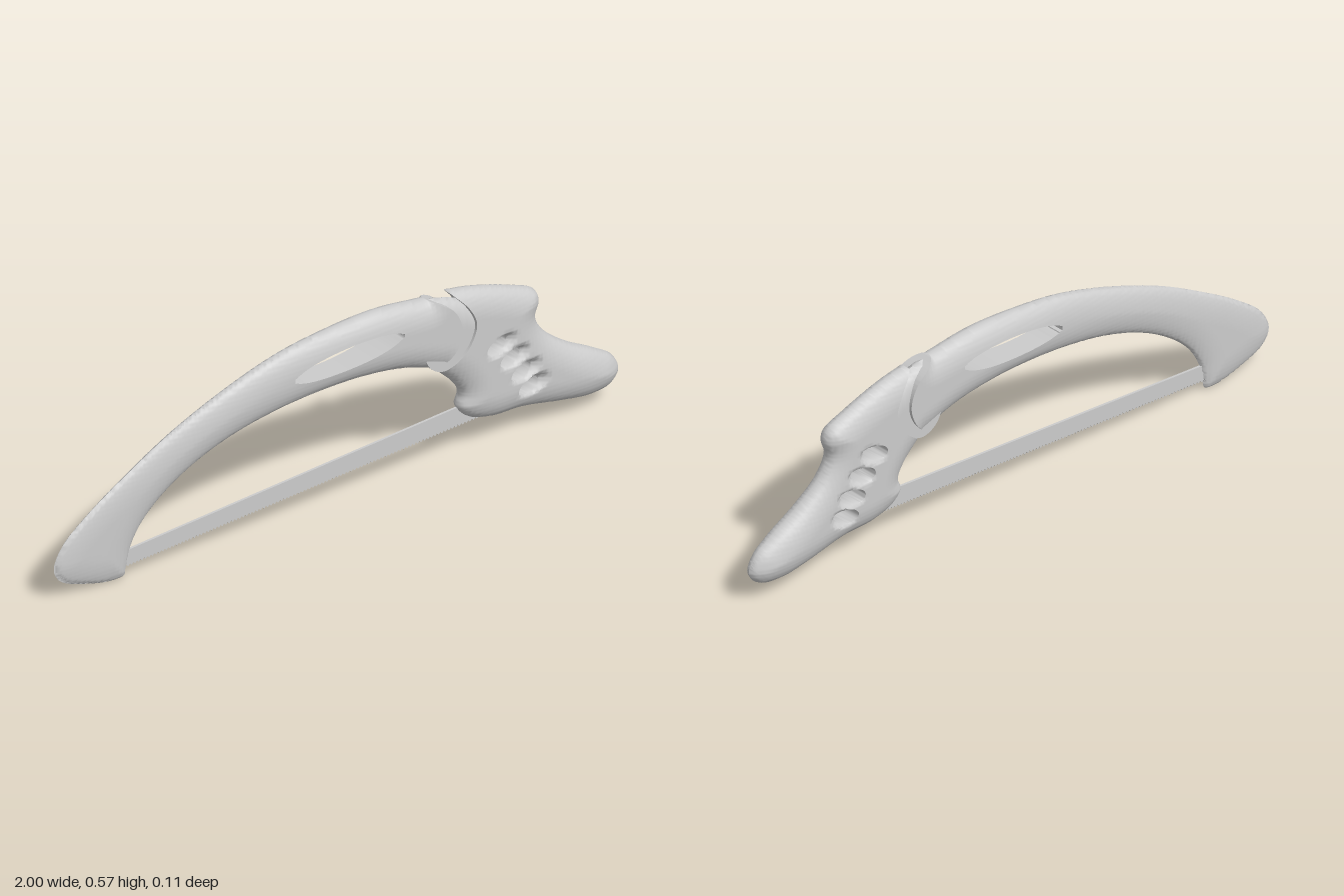
import * as THREE from 'three';
import { toCreasedNormals } from 'three/addons/utils/BufferGeometryUtils.js';

const material = new THREE.MeshStandardMaterial({ color: 0xcccccc });
const clamp = THREE.MathUtils.clamp;

// Smooth open polyline through a few [x, y] points
function smooth(points, n) {
  const curve = new THREE.CatmullRomCurve3(points.map(([x, y]) => new THREE.Vector3(x, y, 0)));
  return curve.getPoints(n).map((p) => [p.x, p.y]);
}

// Shortest distance from a point to a polyline
function distance(x, y, line) {
  let best = Infinity;
  for (let i = 1; i < line.length; i++) {
    const [ax, ay] = line[i - 1];
    const dx = line[i][0] - ax, dy = line[i][1] - ay;
    const t = clamp(((x - ax) * dx + (y - ay) * dy) / (dx * dx + dy * dy || 1), 0, 1);
    best = Math.min(best, Math.hypot(x - ax - t * dx, y - ay - t * dy));
  }
  return best;
}

function inside(x, y, line) {
  let hit = false;
  for (let i = 0, j = line.length - 1; i < line.length; j = i++) {
    const [ax, ay] = line[i], [bx, by] = line[j];
    if (ay > y !== by > y && x < ((bx - ax) * (y - ay)) / (by - ay) + ax) hit = !hit;
  }
  return hit;
}

// 1 on the edge of a tilted ellipse, less inside it
function ellipse(x, y, e) {
  const c = Math.cos(e.tilt), s = Math.sin(e.tilt), dx = x - e.x, dy = y - e.y;
  return Math.hypot((dx * c + dy * s) / e.a, (dy * c - dx * s) / e.b);
}

// Pillowed plate: rounded along the rim, cut square along the cut, pierced by
// elliptical holes and hollowed by dishes. halfDepth(x, y) is its half thickness.
function pillow(name, { rim, cut, holes = [], dishes = [], halfDepth, radius, h = 0.006 }) {
  const rimLine = smooth(rim, 110);
  const cutLine = smooth([rim[rim.length - 1], ...cut, rim[0]], 40);
  const outline = [...rimLine, ...cutLine.slice(1)];

  const field = (x, y) => {
    let f = distance(x, y, outline) * (inside(x, y, outline) ? 1 : -1);
    for (const e of holes) f = Math.min(f, (ellipse(x, y, e) - 1) * e.b);
    return f;
  };
  const depth = (x, y) => {
    const t = Math.min(1, distance(x, y, rimLine) / radius);
    let z = halfDepth(x, y) * Math.sqrt(1 - (1 - t) ** 2);
    for (const e of dishes) z *= Math.min(1, 0.15 + 0.85 * ellipse(x, y, e));
    return z < 0.006 ? 0 : z;
  };

  // Grid points, those close to an edge being drawn onto it
  const box = new THREE.Box2().setFromPoints(outline.map(([x, y]) => new THREE.Vector2(x, y))).expandByScalar(2 * h);
  const nx = Math.ceil((box.max.x - box.min.x) / h), ny = Math.ceil((box.max.y - box.min.y) / h);
  const grid = [];
  for (let j = 0; j <= ny; j++) for (let i = 0; i <= nx; i++) {
    let x = box.min.x + i * h, y = box.min.y + j * h, f = field(x, y);
    if (Math.abs(f) < 0.35 * h) {
      const e = h * 0.05;
      const gx = (field(x + e, y) - field(x - e, y)) / (2 * e);
      const gy = (field(x, y + e) - field(x, y - e)) / (2 * e);
      const g = Math.max(0.3, gx * gx + gy * gy);
      x -= (f * gx) / g;
      y -= (f * gy) / g;
      f = 0;
    }
    grid.push({ x, y, f, z: f < 0 ? 0 : depth(x, y) });
  }

  const pos = [];
  const put = (p, side) => pos.push(p.x, p.y, p.z * side);
  const addTriangle = (tri) => {
    if (!tri.some((p) => p.f > 0)) return;
    // Keep the part of the triangle that lies within the plate
    const poly = [];
    tri.forEach((p, k) => {
      const q = tri[(k + 1) % 3];
      if (p.f >= 0) poly.push(p);
      if (p.f * q.f < 0) {
        const [a, b] = p.f > 0 ? [p, q] : [q, p];
        const t = a.f / (a.f - b.f);
        const x = a.x + (b.x - a.x) * t, y = a.y + (b.y - a.y) * t;
        poly.push({ x, y, f: 0, z: depth(x, y) });
      }
    });
    for (let k = 2; k < poly.length; k++) {
      [poly[0], poly[k - 1], poly[k]].forEach((p) => put(p, 1));
      [poly[0], poly[k], poly[k - 1]].forEach((p) => put(p, -1));
    }
    // Wall joining front and back along cuts and holes
    poly.forEach((p, k) => {
      const q = poly[(k + 1) % poly.length];
      if (p.f !== 0 || q.f !== 0 || p.z + q.z === 0) return;
      put(p, 1); put(p, -1); put(q, -1);
      put(p, 1); put(q, -1); put(q, 1);
    });
  };
  for (let j = 0; j < ny; j++) for (let i = 0; i < nx; i++) {
    const k = j * (nx + 1) + i;
    const a = grid[k], b = grid[k + 1], c = grid[k + nx + 2], d = grid[k + nx + 1];
    addTriangle([a, b, c]);
    addTriangle([a, c, d]);
  }
  const geometry = new THREE.BufferGeometry();
  geometry.setAttribute('position', new THREE.Float32BufferAttribute(pos, 3));
  const mesh = new THREE.Mesh(toCreasedNormals(geometry, 0.9), material);
  mesh.name = name;
  return mesh;
}

// Thin blade with a row of teeth on its lower edge
function createBlade() {
  const shape = new THREE.Shape();
  const x0 = -0.8, x1 = 0.56, teeth = 110;
  const bottom = (x) => 0.032 + (x + 0.74) * 0.0545;
  shape.moveTo(x1, 0.167);
  shape.lineTo(x0, 0.082);
  for (let i = 0; i < teeth; i++) {
    const x = x0 + ((x1 - x0) * i) / teeth;
    shape.lineTo(x, bottom(x));
    shape.lineTo(x + 0.006, bottom(x) + 0.007);
  }
  shape.lineTo(x1, bottom(x1));
  const geometry = new THREE.ExtrudeGeometry(shape, { depth: 0.008, bevelEnabled: false });
  geometry.translate(0, 0, -0.004);
  const mesh = new THREE.Mesh(geometry, material);
  mesh.name = 'blade';
  return mesh;
}

export function createModel() {
  const model = new THREE.Group();
  model.name = 'hacksaw';

  // Arched frame, thinning towards the toe
  model.add(pillow('frame', {
    rim: [[0.31, 0.556], [0.142, 0.575], [-0.045, 0.567], [-0.206, 0.545], [-0.39, 0.492], [-0.58, 0.417],
      [-0.74, 0.332], [-0.874, 0.25], [-0.97, 0.172], [-1, 0.105], [-0.976, 0.06], [-0.9, 0.027],
      [-0.8, 0.003], [-0.752, 0.008], [-0.744, 0.04], [-0.73, 0.096], [-0.687, 0.166], [-0.607, 0.235],
      [-0.5, 0.294], [-0.366, 0.34], [-0.206, 0.369], [-0.045, 0.38], [0.088, 0.377], [0.22, 0.358], [0.345, 0.318]],
    cut: [[0.4, 0.38], [0.415, 0.44], [0.388, 0.505]],
    holes: [{ x: 0.019, y: 0.474, a: 0.187, b: 0.036, tilt: 0.07 }],
    halfDepth: (x) => 0.047 - 0.031 * clamp((0.1 - x) / 1.1, 0, 1),
    radius: 0.085,
  }));

  // Recessed neck between frame and handle
  model.add(pillow('neck', {
    rim: [[0.27, 0.53], [0.32, 0.545], [0.37, 0.537], [0.42, 0.52], [0.5, 0.48]],
    cut: [[0.5, 0.4], [0.42, 0.34], [0.362, 0.315], [0.31, 0.34], [0.28, 0.42]],
    halfDepth: () => 0.037,
    radius: 0.07,
    h: 0.01,
  }));

  // Handle with four slanted, dished finger slots
  const slots = [[0.555, 0.338], [0.602, 0.284], [0.641, 0.227], [0.667, 0.171]];
  model.add(pillow('handle', {
    rim: [[0.388, 0.555], [0.49, 0.535], [0.623, 0.492], [0.7, 0.457], [0.713, 0.422], [0.7, 0.374],
      [0.73, 0.315], [0.81, 0.25], [0.917, 0.19], [0.976, 0.15], [0.999, 0.1], [0.965, 0.06],
      [0.89, 0.05], [0.783, 0.065], [0.65, 0.09], [0.543, 0.095], [0.463, 0.12], [0.425, 0.163],
      [0.436, 0.203], [0.414, 0.246], [0.361, 0.3]],
    cut: [[0.398, 0.328], [0.446, 0.374], [0.468, 0.433], [0.446, 0.49]],
    holes: slots.map(([x, y]) => ({ x: x - 0.01, y, a: 0.042, b: 0.025, tilt: 0.3 })),
    dishes: slots.map(([x, y]) => ({ x: x + 0.004, y, a: 0.058, b: 0.03, tilt: 0.3 })),
    halfDepth: (x, y) => {
      const bulge = 0.007 * Math.exp(-(((x - 0.84) / 0.13) ** 2));
      const tip = clamp((x - 0.86) / 0.2, 0, 1);
      return (0.046 + bulge) * Math.sqrt(1 - tip * tip);
    },
    radius: 0.085,
  }));

  model.add(createBlade());
  return model;
}
